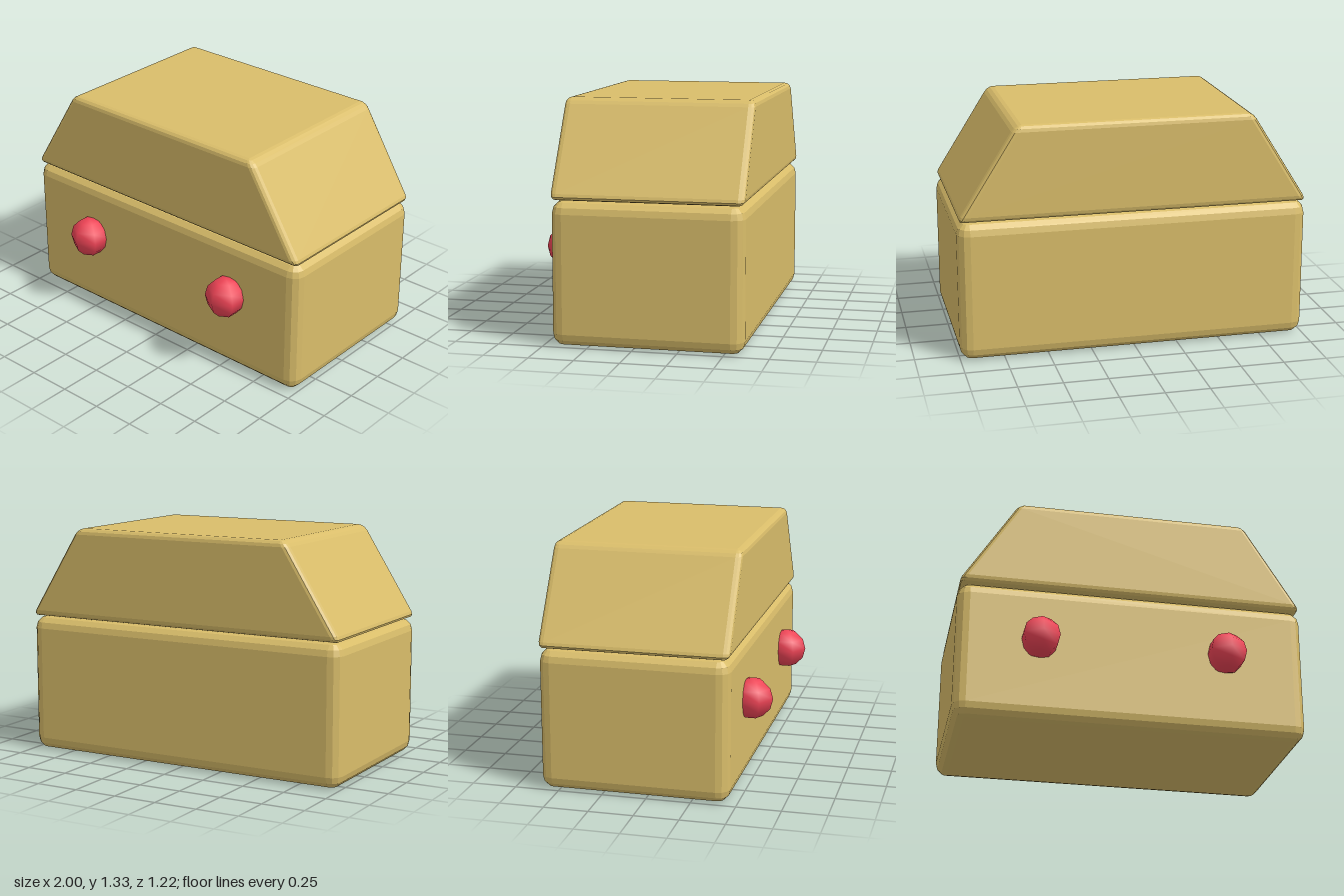
import * as THREE from 'three';
import { ConvexGeometry } from 'three/addons/geometries/ConvexGeometry.js';

const SIGNS = [-1, 1];

// Box with three-step rounded edges; the sides lean inwards by "lean" per unit of height.
function bevelledBox(w, h, d, r, lean = 0) {
  const points = [];
  for (const sx of SIGNS) for (const sy of SIGNS) for (const sz of SIGNS) {
    for (let i = 0; i <= 3; i++) {
      const elevation = (i * Math.PI) / 6;
      const ring = Math.cos(elevation);
      const steps = i === 3 ? 0 : 3; // a single point at the pole
      for (let j = 0; j <= steps; j++) {
        const turn = (j * Math.PI) / 6;
        const y = h / 2 + sy * (h / 2 - r + r * Math.sin(elevation));
        const x = w / 2 - r + r * ring * Math.cos(turn) - lean * y;
        const z = d / 2 - r + r * ring * Math.sin(turn);
        points.push(new THREE.Vector3(sx * x, y, sz * z));
      }
    }
  }
  return new ConvexGeometry(points);
}

export function createModel() {
  const model = new THREE.Group();
  model.name = 'chest';
  const tan = new THREE.MeshStandardMaterial({ color: 0xd9bd6a, flatShading: true });
  const red = new THREE.MeshStandardMaterial({ color: 0xef4456 });

  const add = (name, geometry, material, x, y, z) => {
    const mesh = new THREE.Mesh(geometry, material);
    mesh.name = name;
    mesh.position.set(x, y, z);
    model.add(mesh);
    return mesh;
  };

  // Lower box and tapered lid
  add('body', bevelledBox(2, 0.8, 1.065, 0.07), tan, 0, 0, -0.076);
  add('lid', bevelledBox(2.006, 0.53, 1.065, 0.035, 0.63), tan, 0, 0.804, -0.076);

  // Six-sided knobs half sunk into the front
  const knob = new THREE.SphereGeometry(0.118, 6, 6).rotateY(Math.PI / 6);
  add('leftKnob', knob, red, 0.533, 0.47, 0.491);
  add('rightKnob', knob, red, -0.533, 0.47, 0.491);

  return model;
}
